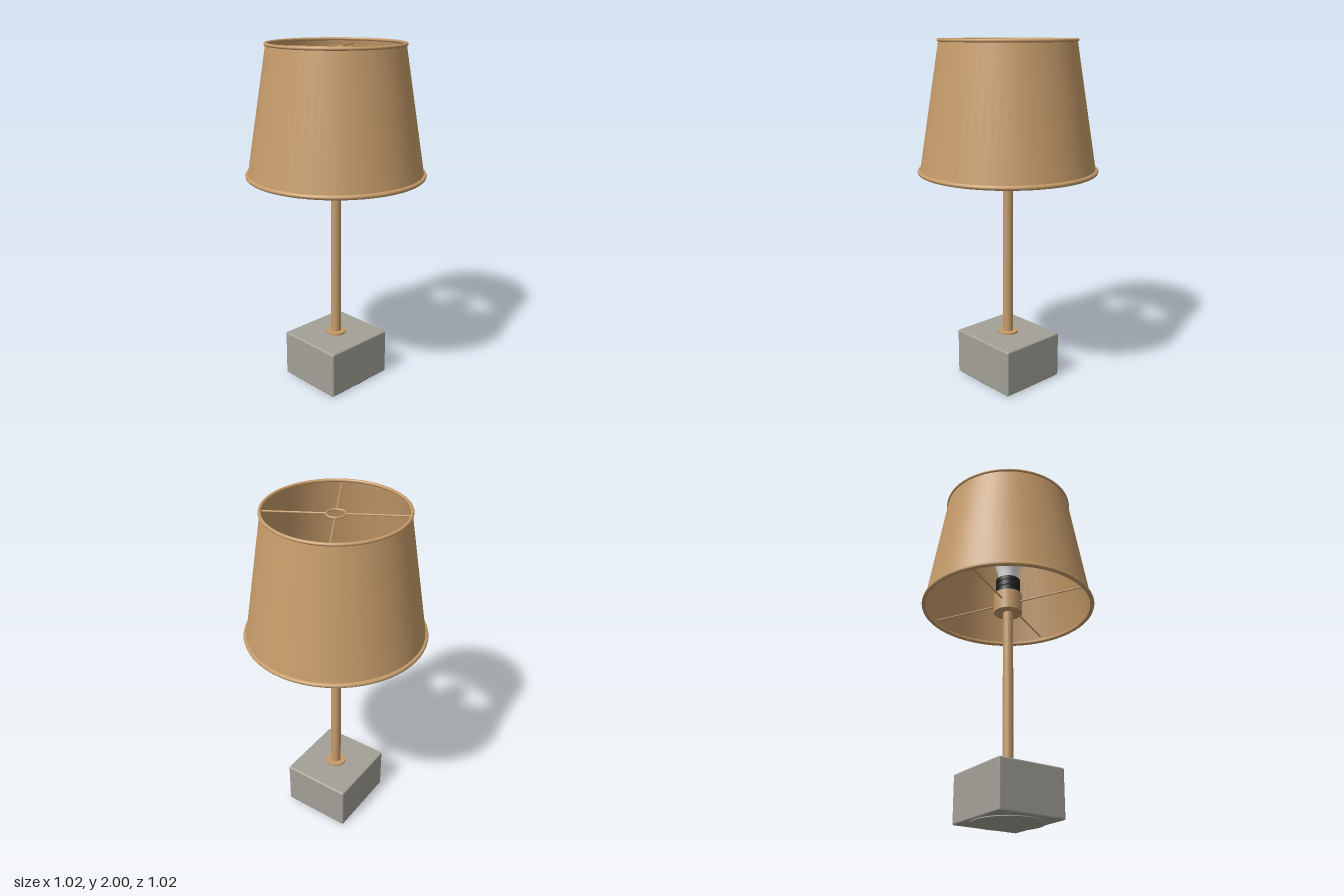
import * as THREE from 'three';
import { RoundedBoxGeometry } from 'three/addons/geometries/RoundedBoxGeometry.js';

const material = (name, color, side = THREE.FrontSide) => {
  const m = new THREE.MeshStandardMaterial({ color, side });
  m.name = name;
  return m;
};

export function createModel() {
  const lamp = new THREE.Group();
  lamp.name = 'tableLamp';
  const tan = material('tan', 0xc69c6a, THREE.DoubleSide);
  const stone = material('stoneGrey', 0xa3a097);
  const black = material('black', 0x242424);
  const white = material('bulbWhite', 0xe8e8e8);

  const add = (name, geometry, mat, x = 0, y = 0, z = 0) => {
    const mesh = new THREE.Mesh(geometry, mat);
    mesh.name = name;
    mesh.position.set(x, y, z);
    lamp.add(mesh);
    return mesh;
  };
  // Upright cylinder between two heights
  const column = (name, mat, r, y0, y1, rTop = r, open = false, sides = 32) =>
    add(name, new THREE.CylinderGeometry(rTop, r, y1 - y0, sides, 1, open), mat, 0, (y0 + y1) / 2, 0);
  // Horizontal hoop
  const hoop = (name, radius, tube, y, sides = 64) => {
    const ring = add(name, new THREE.TorusGeometry(radius, tube, 10, sides), tan, 0, y, 0);
    ring.rotation.x = Math.PI / 2;
    return ring;
  };

  // Block base, foot plate and stem
  add('base', new RoundedBoxGeometry(0.45, 0.275, 0.415, 3, 0.01), stone, 0, 0.1425, 0);
  column('basePad', stone, 0.2, 0, 0.01);
  column('footPlate', tan, 0.06, 0.28, 0.292);
  column('stem', tan, 0.03, 0.285, 1.25);

  // Lamp holder: cup, ribbed socket
  column('holderCup', tan, 0.083, 1.237, 1.36);
  column('socket', black, 0.066, 1.35, 1.46);
  for (const y of [1.375, 1.41, 1.445]) column('socketRib', black, 0.073, y - 0.012, y + 0.012);

  // Light bulb
  const bulbProfile = [
    [0.055, 1.45], [0.06, 1.5], [0.075, 1.55], [0.092, 1.595], [0.1, 1.64],
    [0.092, 1.685], [0.07, 1.718], [0.036, 1.738], [0, 1.745],
  ].map(([r, y]) => new THREE.Vector2(r, y));
  add('bulb', new THREE.LatheGeometry(bulbProfile, 16), white);

  // Shade with piped rims
  column('shade', tan, 0.498, 1.27, 1.99, 0.379, true, 64);
  hoop('shadeBottomRim', 0.499, 0.013, 1.273);
  hoop('shadeTopRim', 0.379, 0.009, 1.991);

  // Upper and lower wire spiders
  hoop('spiderRing', 0.05, 0.006, 1.97, 32);
  const spider = (name, y, inner, outer) => {
    for (let i = 0; i < 4; i++) {
      const a = Math.PI / 3 + (i * Math.PI) / 2;
      const mid = (inner + outer) / 2;
      const arm = add(name, new THREE.CylinderGeometry(0.005, 0.005, outer - inner, 8), tan,
        Math.cos(a) * mid, y, Math.sin(a) * mid);
      arm.rotation.set(0, -a, Math.PI / 2);
    }
  };
  spider('upperSpiderArm', 1.97, 0.05, 0.38);
  spider('lowerSpiderArm', 1.3, 0.075, 0.49);

  return lamp;
}
